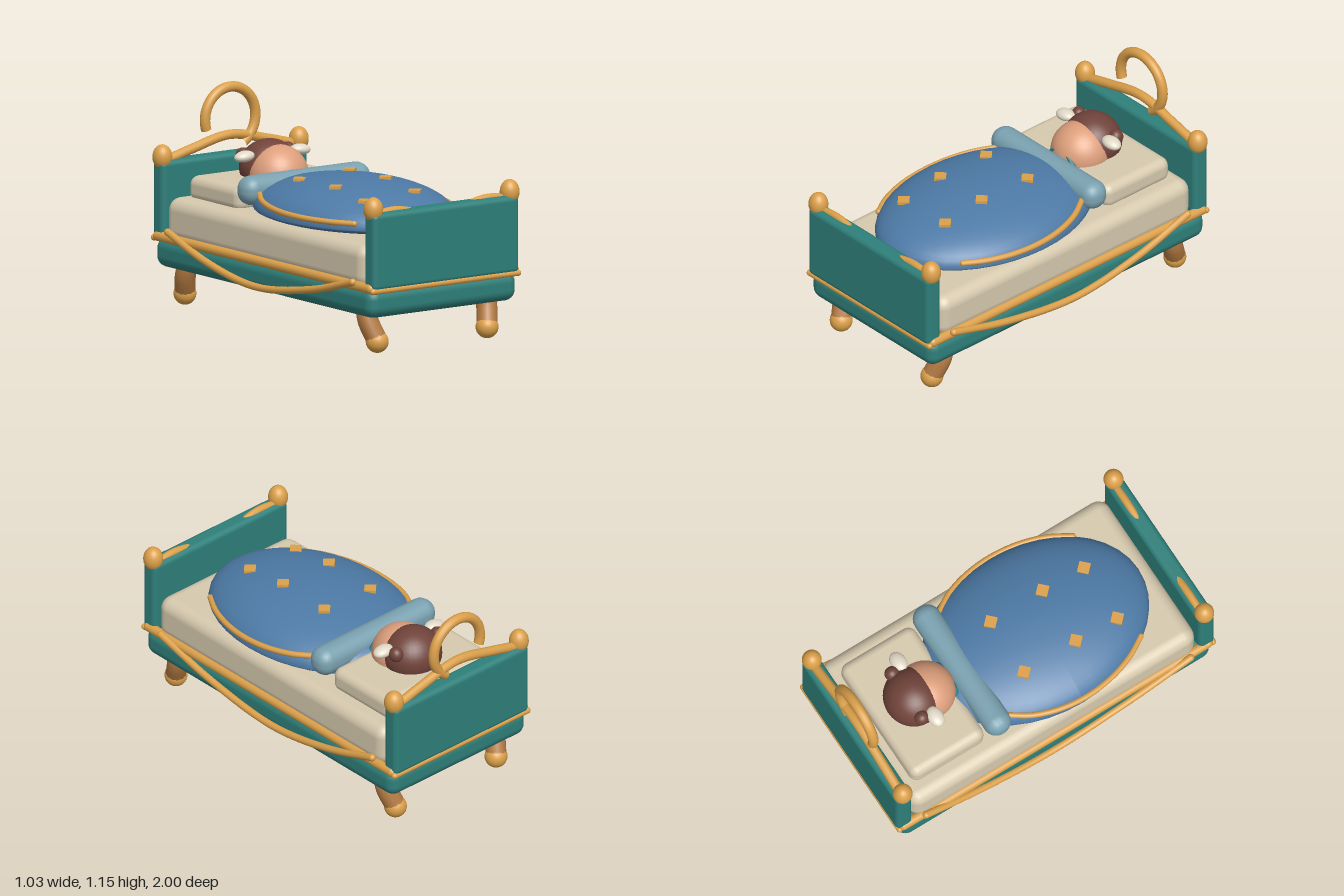
import * as THREE from 'three';
import { RoundedBoxGeometry } from 'three/addons/geometries/RoundedBoxGeometry.js';

const mat = (name, color) => {
  const m = new THREE.MeshStandardMaterial({ color });
  m.name = name;
  return m;
};

export function createModel() {
  const root = new THREE.Group();
  root.name = 'bedWithSleeper';
  const gold = mat('gold', 0xdba04a), wood = mat('wood', 0xb47a42), teal = mat('teal', 0x2e7f7a);
  const cream = mat('cream', 0xd6c9ae), blue = mat('quilt blue', 0x4d7aa6), paleBlue = mat('pale blue', 0x7aa1b0);
  const skin = mat('skin', 0xdd9f7c), hair = mat('hair brown', 0x70433a), ivory = mat('ivory', 0xe2dac8);

  const add = (name, geo, m, x = 0, y = 0, z = 0) => {
    const mesh = new THREE.Mesh(geo, m);
    mesh.name = name;
    mesh.position.set(x, y, z);
    root.add(mesh);
    return mesh;
  };
  const block = (name, m, [w, h, d], r, [x, y, z], seg = 3) =>
    add(name, new RoundedBoxGeometry(w, h, d, seg, r), m, x, y, z);
  const blob = (name, m, [rx, ry, rz], [x, y, z]) =>
    add(name, new THREE.SphereGeometry(1, 32, 20).scale(rx, ry, rz), m, x, y, z);
  // Round-ended tube through a few points
  const tube = (name, m, pts, r, seg = 40) => {
    const v = pts.map((p) => new THREE.Vector3(...p));
    add(name, new THREE.TubeGeometry(new THREE.CatmullRomCurve3(v), seg, r, 12), m);
    for (const p of [pts[0], pts[pts.length - 1]]) blob(name + 'End', m, [r, r, r], p);
  };

  // Bed base, mattress and pillow
  block('bedBase', teal, [0.975, 0.16, 1.955], 0.06, [0, 0.285, 0]);
  block('mattress', cream, [0.95, 0.24, 1.79], 0.07, [0, 0.47, 0]);
  block('pillow', cream, [0.745, 0.14, 0.46], 0.05, [0, 0.635, -0.6]);

  // Head and foot boards with finials, lower rails and legs
  for (const s of [1, -1]) {
    block(s > 0 ? 'footboard' : 'headboard', teal, [0.96, 0.42, 0.098], 0.03, [0, 0.567, s * 0.949]);
    tube('endRail', gold, [[-0.475, 0.358, s * 0.983], [0, 0.358, s * 0.983], [0.475, 0.358, s * 0.983]], 0.017, 4);
    for (const t of [1, -1]) {
      blob('finial', gold, [0.053, 0.067, 0.053], [t * 0.447, 0.793, s * 0.947]);
      tube('leg', wood, [[t * 0.385, 0.25, s * 0.795], [t * 0.388, 0.17, s * 0.82], [t * 0.363, 0.075, s * 0.86]], 0.056, 16);
      blob('foot', gold, [0.061, 0.061, 0.061], [t * 0.36, 0.062, s * 0.863]);
    }
  }

  // Side rails and hanging swags
  for (const t of [1, -1]) {
    tube('sideRail', gold, [[t * 0.47, 0.369, -0.955], [t * 0.47, 0.369, 0], [t * 0.47, 0.369, 0.955]], 0.027, 4);
    tube('sideSwag', gold, [[t * 0.497, 0.41, -0.83], [t * 0.497, 0.3, -0.48], [t * 0.497, 0.235, -0.04],
      [t * 0.497, 0.295, 0.46], [t * 0.497, 0.39, 0.83]], 0.02);
  }

  // Board crests: sagging at the foot, arched at the head
  tube('footCrest', gold, [[-0.44, 0.76, 0.94], [-0.3, 0.775, 0.94], [0, 0.72, 0.94],
    [0.3, 0.775, 0.94], [0.44, 0.76, 0.94]], 0.021);
  tube('headCrest', gold, [[-0.44, 0.765, -0.95], [-0.25, 0.815, -0.95], [0, 0.865, -0.95],
    [0.25, 0.815, -0.95], [0.44, 0.765, -0.95]], 0.026);

  // Open hook above the headboard
  const hookSpan = THREE.MathUtils.degToRad(258);
  const hook = add('headHook', new THREE.TorusGeometry(0.165, 0.028, 14, 48, hookSpan), gold, 0, 0.957, -0.95);
  hook.rotation.z = THREE.MathUtils.degToRad(-60);
  const hookCap = new THREE.CircleGeometry(0.028, 14);
  hookCap.rotateX(-Math.PI / 2).translate(0.165, 0, 0).rotateZ(hookSpan);
  hookCap.scale(1, 1, 1);
  const cap = add('hookTip', hookCap, gold, 0, 0.957, -0.95);
  cap.rotation.z = hook.rotation.z;

  // Quilt: a dome with a shallower underside
  const qx = 0.475, qz = 0.65, qTop = 0.19, qBase = 0.62, qMid = 0.17;
  const quilt = new THREE.SphereGeometry(1, 40, 28);
  const p = quilt.attributes.position;
  for (let i = 0; i < p.count; i++) {
    const y = p.getY(i);
    p.setXYZ(i, p.getX(i) * qx, y * (y > 0 ? qTop : 0.06), p.getZ(i) * qz);
  }
  quilt.computeVertexNormals();
  add('quilt', quilt, blue, 0, qBase, qMid);

  // Quilt edging
  for (const t of [1, -1]) {
    const pts = [];
    for (let i = 0; i <= 8; i++) {
      const z = 0.62 - (0.84 * i) / 8;
      const y = 0.655 + 0.035 * (i / 8) ** 3;
      const k = 1 - ((z - qMid) / qz) ** 2 - ((y - qBase) / qTop) ** 2;
      pts.push([t * (qx * Math.sqrt(k) + 0.003), y, z]);
    }
    tube('quiltEdging', gold, pts, 0.016);
  }

  // Diamond patches
  for (const x of [-0.213, 0.115]) for (const z of [-0.035, 0.29, 0.55]) {
    const y = qBase + qTop * Math.sqrt(1 - (x / qx) ** 2 - ((z - qMid) / qz) ** 2);
    add('diamondPatch', new THREE.BoxGeometry(0.062, 0.016, 0.062), gold, x, y + 0.005, z).rotation.y = Math.PI / 4;
  }

  // Folded cover
  block('coverFold', paleBlue, [0.83, 0.158, 0.152], 0.072, [0, 0.7, -0.29]);

  // Sleeper
  add('collar', new THREE.TorusGeometry(0.105, 0.016, 10, 28), teal, 0, 0.655, -0.385);
  blob('head', skin, [0.163, 0.16, 0.163], [0, 0.715, -0.52]);
  blob('hair', hair, [0.163, 0.15, 0.155], [0, 0.745, -0.6]);
  for (const t of [1, -1]) {
    blob('hairTuft', hair, [0.038, 0.042, 0.04], [t * 0.148, 0.815, -0.635]);
    blob('ear', ivory, [0.06, 0.03, 0.043], [t * 0.183, 0.822, -0.572]).rotation.z = -t * 0.1;
  }
  return root;
}
